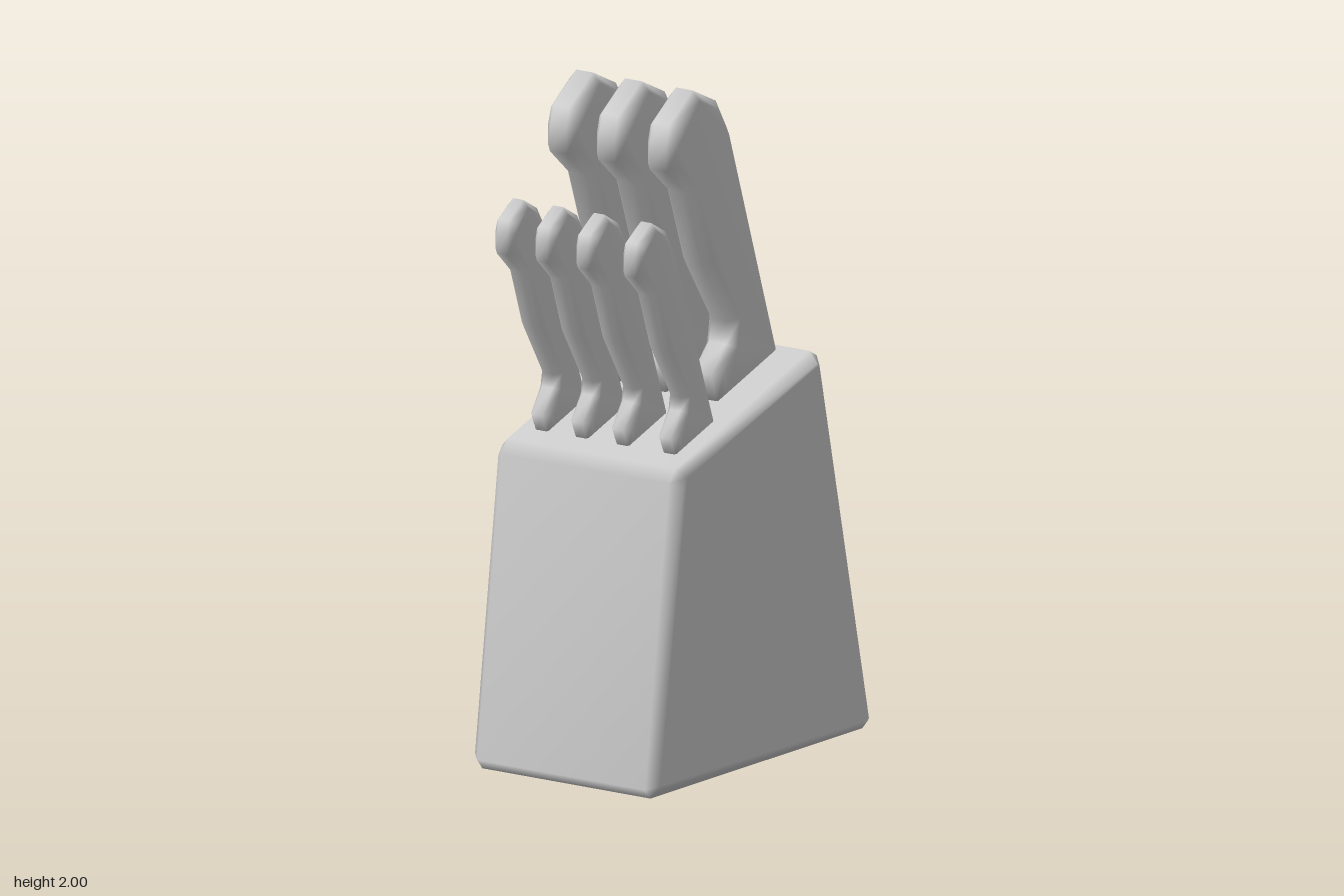
import * as THREE from 'three';
import { mergeVertices } from 'three/addons/utils/BufferGeometryUtils.js';

const material = new THREE.MeshStandardMaterial({ color: 0xcccccc });

// Cut every corner of a side profile by a fixed distance
function chamferCorners(points, cut) {
  const toward = (a, b) => {
    const d = Math.hypot(b[0] - a[0], b[1] - a[1]);
    return [a[0] + (b[0] - a[0]) * cut / d, a[1] + (b[1] - a[1]) * cut / d];
  };
  const n = points.length;
  return points.flatMap((p, i) => [
    toward(p, points[(i + n - 1) % n]),
    toward(p, points[(i + 1) % n]),
  ]);
}

// Extrude a [z, y] side profile across x with chamfered rims and
// area-weighted normals, so large faces stay flat and the rims look soft
function sideExtrusion(profile, width, bevel) {
  const shape = new THREE.Shape(profile.map(([z, y]) => new THREE.Vector2(-z, y)));
  let geometry = new THREE.ExtrudeGeometry(shape, {
    depth: width - 2 * bevel,
    bevelSize: bevel,
    bevelThickness: bevel,
    bevelOffset: -bevel,
    bevelSegments: 1,
  });
  geometry.translate(0, 0, bevel - width / 2);
  geometry.rotateY(Math.PI / 2);
  geometry.deleteAttribute('uv');
  geometry.deleteAttribute('normal');
  geometry = mergeVertices(geometry, 1e-5);
  geometry.computeVertexNormals();
  return geometry;
}

// Wedge-shaped block, sloping down to the front
const blockProfile = [[0.54, 0], [-0.54, 0], [-0.283, 1.173], [0.417, 0.937]];

// Handle outlines, from the butt down the grip to the collar and up the spine
const largeProfile = [
  [0.165, 2], [0.275, 1.92], [0.292, 1.86], [0.292, 1.785], [0.2, 1.705],
  [0.12, 1.475], [-0.005, 1.285], [0.005, 1.22], [0.075, 1.143],
  [0.048, 1.057], [-0.233, 1.153], [0, 1.857], [0.053, 1.947],
];
const smallProfile = [
  [0.435, 1.672], [0.503, 1.625], [0.513, 1.59], [0.513, 1.525], [0.445, 1.46],
  [0.386, 1.286], [0.29, 1.127], [0.296, 1.09], [0.344, 1.016],
  [0.323, 0.963], [0.138, 1.026], [0.328, 1.566], [0.37, 1.635],
];

export function createModel() {
  const model = new THREE.Group();
  model.name = 'knifeBlock';

  const block = new THREE.Mesh(sideExtrusion(chamferCorners(blockProfile, 0.03), 0.656, 0.03), material);
  block.name = 'block';
  model.add(block);

  // Rows of identical handles at their x positions
  const addRow = (name, geometry, positions) => {
    const row = new THREE.Group();
    row.name = name + 'Row';
    positions.forEach((x, i) => {
      const handle = new THREE.Mesh(geometry, material);
      handle.name = name + (i + 1);
      handle.position.x = x;
      row.add(handle);
    });
    model.add(row);
  };
  addRow('largeHandle', sideExtrusion(largeProfile, 0.108, 0.025), [-0.19, -0.017, 0.164]);
  addRow('smallHandle', sideExtrusion(smallProfile, 0.072, 0.018), [-0.226, -0.084, 0.061, 0.228]);

  return model;
}
